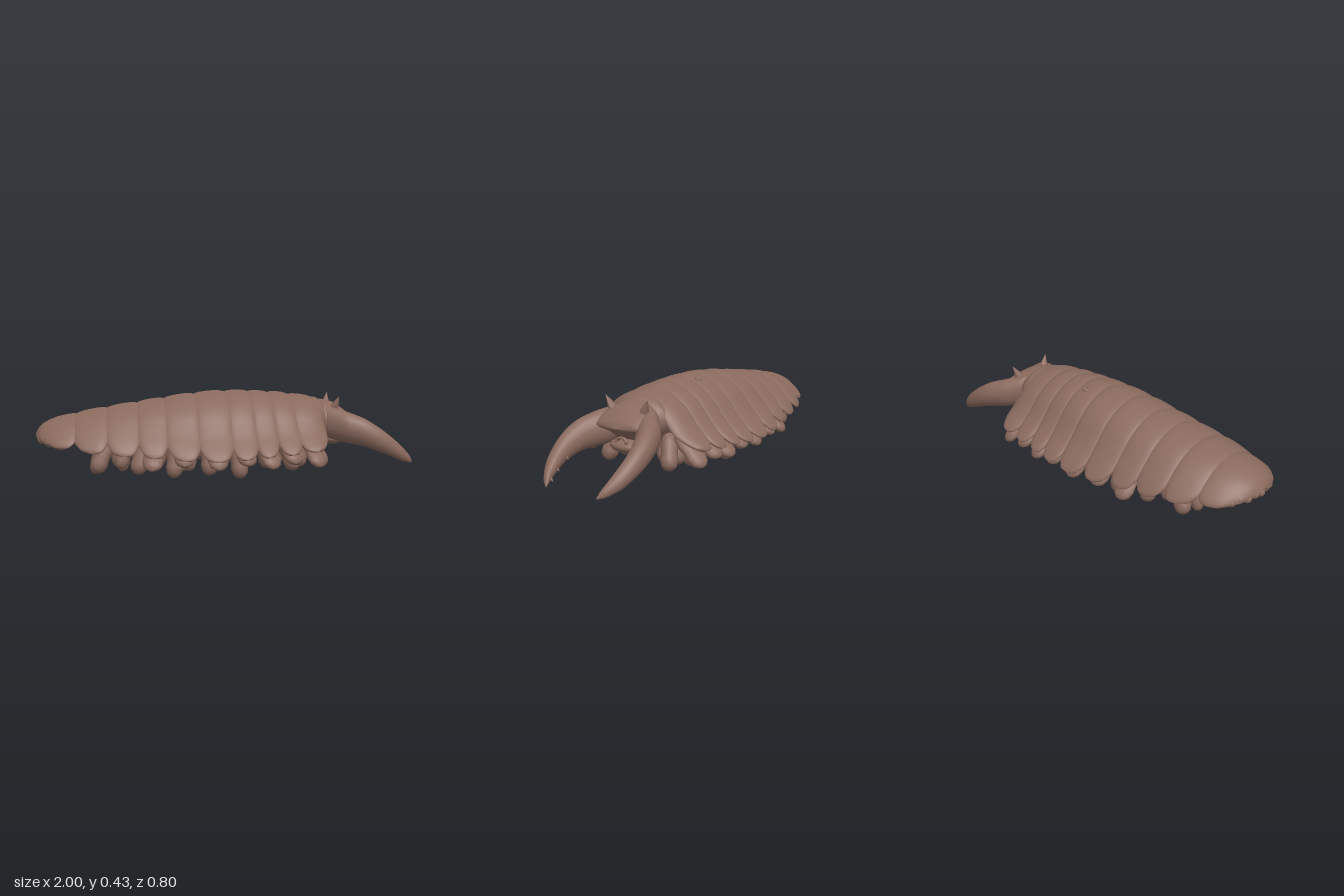
import * as THREE from 'three';

const shell = new THREE.MeshStandardMaterial({ color: 0x8a6a5e });
shell.name = 'brown chitin';
const { lerp, clamp, smoothstep } = THREE.MathUtils;

// Closed-ring surface: rows of points, each row wraps around
function surface(rows, cols, point) {
  const pos = [], idx = [];
  for (let i = 0; i <= rows; i++) {
    for (let j = 0; j < cols; j++) pos.push(...point(i / rows, (j / cols) * Math.PI * 2));
  }
  for (let i = 0; i < rows; i++) {
    for (let j = 0; j < cols; j++) {
      const k = (j + 1) % cols;
      const a = i * cols + j, b = i * cols + k, c = a + cols, d = b + cols;
      idx.push(a, b, c, b, d, c);
    }
  }
  const g = new THREE.BufferGeometry();
  g.setAttribute('position', new THREE.Float32BufferAttribute(pos, 3));
  g.setIndex(idx);
  g.computeVertexNormals();
  return g;
}

// Elliptical loft along +x from sections [x, y, z, ry, rz]
function loft(sections, rows = 40, cols = 24) {
  const n = sections.length - 1;
  const centre = new THREE.CatmullRomCurve3(sections.map(s => new THREE.Vector3(s[0], s[1], s[2])));
  return surface(rows, cols, (t, a) => {
    const i = Math.min(Math.floor(t * n), n - 1), f = t * n - i;
    const p = centre.getPoint(t);
    const ry = lerp(sections[i][3], sections[i + 1][3], f);
    const rz = lerp(sections[i][4], sections[i + 1][4], f);
    return [p.x, p.y + Math.cos(a) * ry, p.z + Math.sin(a) * rz];
  });
}

// Back outline along the body: [x, half width, crown y, edge y]
const outline = [
  [-0.995, 0.05, 0.245, 0.195], [-0.97, 0.13, 0.272, 0.185], [-0.9, 0.21, 0.302, 0.17], [-0.8, 0.26, 0.327, 0.155],
  [-0.66, 0.31, 0.352, 0.14], [-0.5, 0.335, 0.377, 0.125], [-0.35, 0.36, 0.4, 0.115], [-0.2, 0.392, 0.422, 0.1],
  [-0.05, 0.405, 0.434, 0.1], [0.1, 0.395, 0.434, 0.11], [0.28, 0.378, 0.422, 0.125], [0.42, 0.362, 0.404, 0.14],
  [0.47, 0.33, 0.394, 0.15], [0.52, 0.26, 0.38, 0.17],
];
function outlineAt(x) {
  let i = 0;
  while (i < outline.length - 2 && x > outline[i + 1][0]) i++;
  const a = outline[i], b = outline[i + 1];
  const f = clamp((x - a[0]) / (b[0] - a[0]), 0, 1);
  return [1, 2, 3].map(k => lerp(a[k], b[k], f));
}

// Arches in unit width and height: rounded at the tail, flared at the front
function archCurve(heights) {
  const widths = [0, 0.18, 0.35, 0.5, 0.62, 0.74, 0.88, 1];
  const half = widths.map((z, i) => [z, heights[i]]);
  return new THREE.SplineCurve([
    ...half.slice(1).reverse().map(([z, y]) => new THREE.Vector2(-z, y)),
    ...half.map(([z, y]) => new THREE.Vector2(z, y)),
  ]);
}
const tailArch = archCurve([1, 0.965, 0.885, 0.77, 0.63, 0.46, 0.25, 0.04]);
const frontArch = archCurve([1, 0.955, 0.855, 0.69, 0.49, 0.31, 0.16, 0.04]);

// Back plate from x0 to x1: a flattened tube swept over the arch, with round side lobes
function plateGeometry(x0, x1, lean) {
  const t = 0.02, xc = (x0 + x1) / 2, h = (x1 - x0) / 2 + 0.012;
  return surface(64, 28, (u, a) => {
    const s = Math.abs(u * 2 - 1);
    const e = Math.max(0, (s - 0.68) / 0.32);
    const round = Math.sqrt(Math.max(0, 1 - e * e));
    const c = Math.cos(a), b = Math.sin(a) * t * round;
    const x = xc + Math.sign(c) * Math.pow(Math.abs(c), 0.8) * h * round;
    const [w, top, edge] = outlineAt(x);
    const flare = smoothstep(x, -0.7, 0.1);
    const at = v => {
      const k = clamp(v, 0, 1);
      const p = tailArch.getPoint(k).lerp(frontArch.getPoint(k), flare);
      return [p.x * w, edge + p.y * (top - t - edge)];
    };
    const [z, y] = at(u), [z0, y0] = at(u - 0.01), [z1, y1] = at(u + 0.01);
    const len = Math.hypot(z1 - z0, y1 - y0);
    return [x + lean * s * s, y + (b * (z1 - z0)) / len, z - (b * (y1 - y0)) / len];
  });
}

// Club-shaped limb of unit length along +y
const clubGeometry = new THREE.LatheGeometry(
  [[0, 0], [0.8, 0.02], [0.95, 0.3], [0.85, 0.5], [0.95, 0.72], [0.8, 0.88], [0.45, 0.97], [0, 1]]
    .map(([r, y]) => new THREE.Vector2(r, y)), 12);

export function createModel() {
  const model = new THREE.Group();
  const add = (geometry, name, parent = model) => {
    const m = new THREE.Mesh(geometry, shell);
    m.name = name;
    parent.add(m);
    return m;
  };
  const group = name => {
    const g = new THREE.Group();
    g.name = name;
    model.add(g);
    return g;
  };
  const up = new THREE.Vector3(0, 1, 0);
  const limb = (geometry, name, parent, from, to, r, flat = 1) => {
    const a = new THREE.Vector3(...from), d = new THREE.Vector3(...to).sub(a);
    const m = add(geometry, name, parent);
    m.position.copy(a);
    m.scale.set(r, d.length(), r * flat);
    m.quaternion.setFromUnitVectors(up, d.normalize());
    return m;
  };

  // Soft body under the plates
  add(loft([
    [-0.98, 0.22, 0, 0, 0], [-0.96, 0.222, 0, 0.025, 0.07], [-0.9, 0.225, 0, 0.05, 0.13],
    [-0.7, 0.23, 0, 0.085, 0.19], [-0.4, 0.24, 0, 0.12, 0.21], [0, 0.255, 0, 0.14, 0.22],
    [0.3, 0.255, 0, 0.13, 0.2], [0.47, 0.265, 0, 0.11, 0.16], [0.52, 0.265, 0, 0, 0],
  ], 56, 28), 'body');

  // Overlapping back plates between successive joints
  const joints = [-0.985, -0.79, -0.63, -0.475, -0.335, -0.175, -0.01, 0.115, 0.22, 0.33, 0.475];
  const backPlates = group('backPlates');
  for (let i = 0; i < joints.length - 1; i++) {
    add(plateGeometry(joints[i], joints[i + 1], i > 7 ? 0.015 : 0), 'backPlate', backPlates);
  }
  // Narrow collar behind the head
  add(loft([
    [0.4, 0.28, -0.01, 0, 0], [0.42, 0.28, -0.01, 0.112, 0.17], [0.48, 0.28, -0.01, 0.11, 0.165],
    [0.51, 0.275, -0.01, 0.1, 0.145], [0.53, 0.27, -0.01, 0, 0],
  ]), 'neckCollar');

  // Small pore on the back
  const pore = add(new THREE.TorusGeometry(0.014, 0.006, 8, 16), 'backPore');
  pore.position.set(0.07, 0.416, -0.09);
  pore.rotation.x = -Math.PI / 2 - 0.3;

  // Legs in rows on both sides, with flat gills under the plate edges and a middle row
  const legs = group('legs');
  const outer = [[-0.62, 0.04], [-0.44, 0.03], [-0.28, 0.01], [-0.12, 0.02], [0.02, 0.0], [0.15, 0.05], [0.27, 0.03], [0.41, 0.04]];
  const mid = [[-0.52, 0.05], [-0.35, 0.05], [-0.2, 0.03], [-0.04, 0.04], [0.09, 0.05], [0.21, 0.05], [0.34, 0.04]];
  const inner = [[-0.65, 0.015], [-0.52, 0.025], [-0.38, 0.04], [-0.23, 0.015], [-0.06, 0.04], [0.1, 0.05], [0.24, 0.035], [0.37, 0.05]];
  const gills = [-0.4, -0.25, -0.09, 0.05, 0.17, 0.28, 0.4];
  for (const side of [1, -1]) {
    outer.forEach(([x, y], i) => {
      const z = 0.175 + 0.075 * Math.sin((i + 1) * 0.36);
      limb(clubGeometry, 'outerLeg', legs, [x, 0.2, side * (z - 0.05)], [x + x * 0.15 + 0.02, y, side * z], 0.047);
    });
    mid.forEach(([x, y]) =>
      limb(clubGeometry, 'midLeg', legs, [x, 0.2, side * 0.13], [x + x * 0.1, y, side * 0.17], 0.04));
    inner.forEach(([x, y]) =>
      limb(clubGeometry, 'innerLeg', legs, [x, 0.2, side * 0.07], [x + x * 0.08, y, side * 0.1], 0.036));
    gills.forEach((x, i) =>
      limb(clubGeometry, 'gill', legs, [x, 0.2, side * 0.2], [x * 1.05 + 0.01, 0.07 + 0.02 * (i % 2), side * (0.375 - 0.15 * x * x)], 0.055, 0.55));
  }
  for (let i = 0; i < 6; i++) {
    const x = -0.6 + i * 0.17;
    limb(clubGeometry, 'middleLeg', legs, [x, 0.18, 0], [x + 0.02, 0.03 - 0.015 * (i % 2), -0.01], 0.03);
  }

  // Knobs around the tail rim
  const knobs = group('tailKnobs');
  for (let i = 0; i < 13; i++) {
    const a = (i / 12 - 0.5) * 2.7;
    const c = Math.cos(a), s = Math.sin(a);
    limb(clubGeometry, 'tailKnob', knobs, [-0.83 - 0.09 * c, 0.215, 0.14 * s],
      [-0.83 - 0.168 * c, 0.16 + 0.035 * c + 0.01 * (i % 2), 0.215 * s], 0.024);
  }

  // Head with a brow overhanging the hollow mouth
  add(loft([
    [0.43, 0.27, -0.01, 0, 0], [0.45, 0.27, -0.01, 0.105, 0.15], [0.52, 0.27, -0.01, 0.108, 0.135],
    [0.58, 0.275, -0.015, 0.088, 0.15], [0.63, 0.28, -0.02, 0.05, 0.15], [0.67, 0.272, -0.02, 0.022, 0.12],
    [0.685, 0.265, -0.02, 0, 0],
  ]), 'head');
  const lip = add(new THREE.SphereGeometry(1, 20, 12), 'lowerLip');
  lip.scale.set(0.07, 0.035, 0.1);
  lip.position.set(0.58, 0.165, -0.02);
  const mouth = add(new THREE.TorusGeometry(0.028, 0.009, 8, 20), 'mouthRing');
  mouth.position.set(0.63, 0.192, -0.02);
  mouth.rotation.y = Math.PI / 2;
  mouth.scale.y = 0.7;

  const toothGeometry = new THREE.ConeGeometry(1, 1, 8).translate(0, 0.5, 0);
  for (const side of [1, -1]) {
    const z = v => side * v - 0.02;
    // Curved pincer jaw
    add(loft([
      [0.5, 0.27, z(0.07), 0, 0], [0.52, 0.265, z(0.08), 0.085, 0.065], [0.61, 0.242, z(0.14), 0.085, 0.075],
      [0.71, 0.214, z(0.192), 0.075, 0.058], [0.81, 0.165, z(0.21), 0.06, 0.045],
      [0.91, 0.103, z(0.195), 0.042, 0.034], [0.975, 0.06, z(0.165), 0.02, 0.016], [1, 0.04, z(0.145), 0, 0],
    ], 48, 20), side > 0 ? 'leftJaw' : 'rightJaw');
    // Small teeth along the inner jaw edge
    [[0.75, 0.18, 0.165], [0.82, 0.14, 0.175], [0.89, 0.1, 0.17], [0.95, 0.07, 0.155]].forEach(([x, y, w]) =>
      limb(toothGeometry, 'jawTooth', model, [x, y, z(w + 0.015)], [x + 0.012, y - 0.01, z(w - 0.022)], 0.014));
    // Short horn on the brow
    limb(toothGeometry, 'browHorn', model, [0.57, 0.32, z(0.085)], [0.59, 0.402, z(0.125)], 0.032);
  }
  return model;
}
